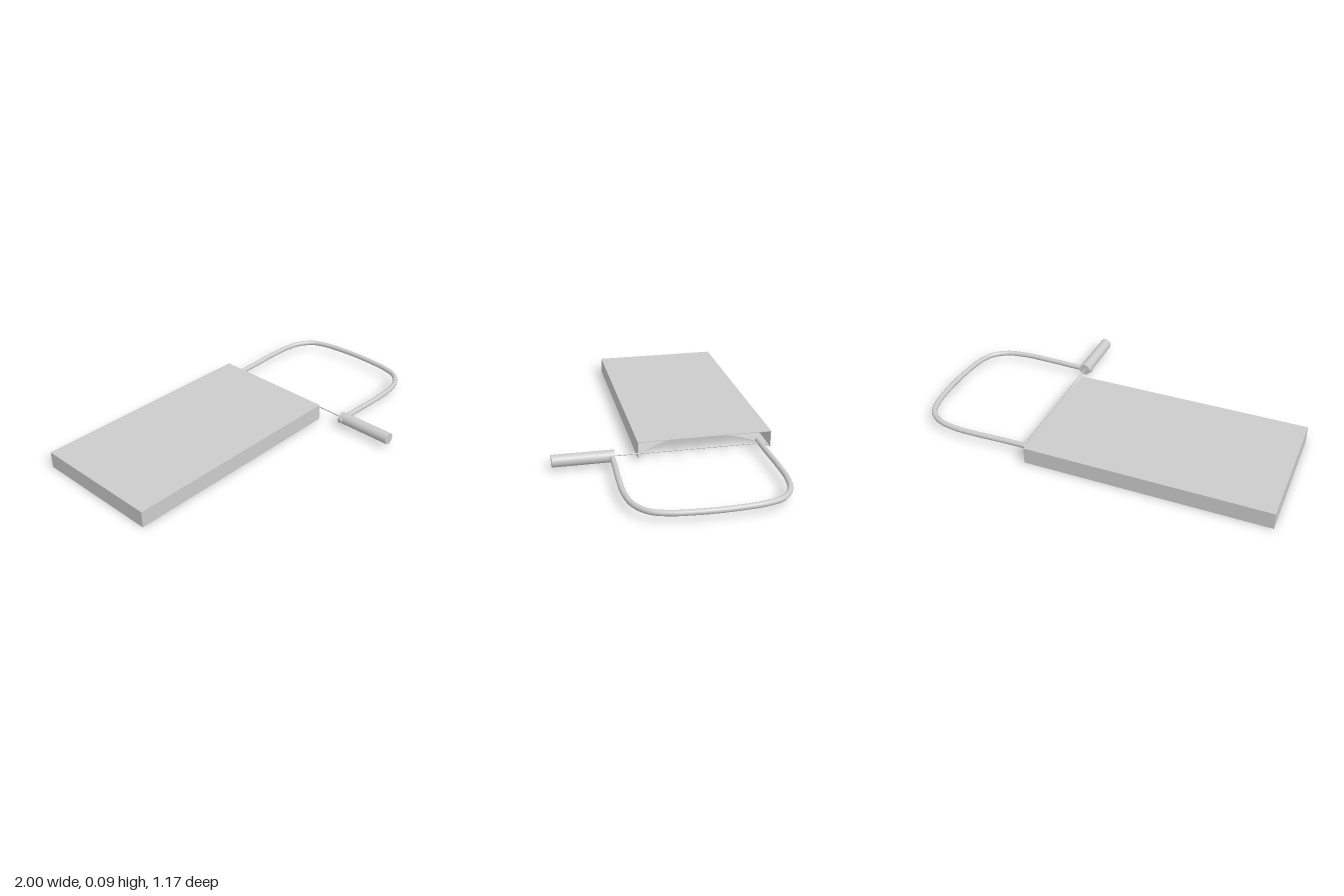
import * as THREE from 'three';

const material = new THREE.MeshStandardMaterial({ color: 0xcccccc });

function add(group, name, geometry, x = 0, y = 0, z = 0) {
  const mesh = new THREE.Mesh(geometry, material);
  mesh.name = name;
  mesh.position.set(x, y, z);
  group.add(mesh);
  return mesh;
}

// Thin box sleeve, open at +x, with a curved thumb notch in its floor
function makeSleeve() {
  const g = new THREE.Group();
  g.name = 'sleeve';
  const x0 = -1, x1 = 0.305, z0 = -0.586, z1 = 0.135, h = 0.091, t = 0.003;
  const length = x1 - x0, width = z1 - z0, cx = (x0 + x1) / 2, cz = (z0 + z1) / 2;

  add(g, 'sleeveTop', new THREE.BoxGeometry(length, t, width), cx, h - t / 2, cz);
  for (const [name, z] of [['sleeveBackWall', z0 + t / 2], ['sleeveFrontWall', z1 - t / 2]])
    add(g, name, new THREE.BoxGeometry(length, h - 2 * t, t), cx, h / 2, z);
  add(g, 'sleeveEndWall', new THREE.BoxGeometry(t, h - 2 * t, width - 2 * t), x0 + t / 2, h / 2, cz);

  // Floor outline drawn in x and z, then laid flat
  const floor = new THREE.Shape();
  floor.moveTo(x0, z0);
  floor.lineTo(x1, z0);
  floor.bezierCurveTo(x1 - 0.285, z0 + 0.19, x1 - 0.285, z1 - 0.19, x1, z1);
  floor.lineTo(x0, z1);
  floor.closePath();
  const floorGeo = new THREE.ExtrudeGeometry(floor, { depth: t, bevelEnabled: false, curveSegments: 24 });
  floorGeo.rotateX(Math.PI / 2);
  add(g, 'sleeveFloor', floorGeo, 0, t, 0);
  return g;
}

// Bowed wire frame, blade and handle
function makeSaw() {
  const g = new THREE.Group();
  g.name = 'saw';
  const y = 0.047, r = 0.0145, bladeX = 0.345, midZ = -0.117;

  // Half of the frame as [x, distance from its centre line], mirrored for the other arm
  const half = [[0.305, 0.395], [0.45, 0.397], [0.6, 0.402], [0.75, 0.4], [0.86, 0.375],
    [0.935, 0.315], [0.967, 0.225], [0.98, 0.11]];
  const points = [
    ...half.map(([x, d]) => new THREE.Vector3(x, y, midZ - d)),
    new THREE.Vector3(0.984, y, midZ),
    ...half.slice().reverse().map(([x, d]) => new THREE.Vector3(x, y, midZ + d)),
  ];
  add(g, 'frame', new THREE.TubeGeometry(new THREE.CatmullRomCurve3(points), 120, r, 16));
  for (const s of [-1, 1])
    add(g, 'frameEnd', new THREE.CircleGeometry(r, 16).rotateY(-Math.PI / 2), 0.305, y, midZ + s * 0.395);

  const bladeStart = midZ - 0.395, bladeEnd = 0.27;
  add(g, 'blade', new THREE.CylinderGeometry(0.0035, 0.0035, bladeEnd - bladeStart, 8).rotateX(Math.PI / 2),
    bladeX, y, (bladeStart + bladeEnd) / 2);

  add(g, 'handle', new THREE.CylinderGeometry(0.032, 0.032, 0.321, 32).rotateX(Math.PI / 2), bladeX, y, 0.4255);
  return g;
}

export function createModel() {
  const model = new THREE.Group();
  model.name = 'sawAndSleeve';
  model.add(makeSleeve(), makeSaw());
  return model;
}
